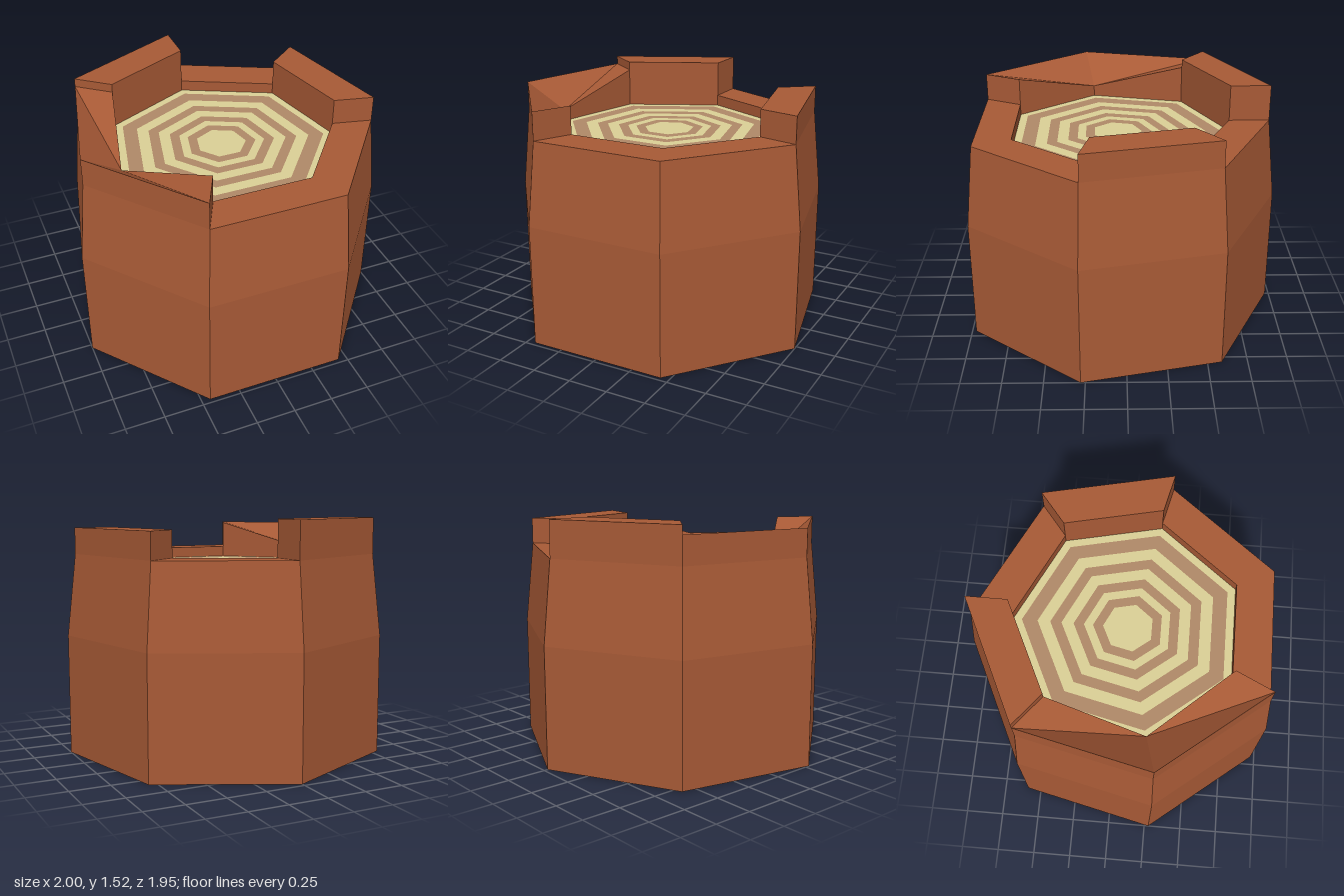
import * as THREE from 'three';

const SIDES = 7, CZ = 0.05;
const R_BASE = 1.026, R_TOP = 0.969, R_IN = 0.714;
const Y_BEND = 0.77, Y_RIM = 1.29, Y_FLOOR = 1.22;

const bark = new THREE.MeshStandardMaterial({ color: 0xa85a36, flatShading: true });
const cream = new THREE.MeshStandardMaterial({ color: 0xdbd196 });
const ringBrown = new THREE.MeshStandardMaterial({ color: 0xb08a68 });

// corner i of a heptagon with its point at the back
function corner(i, r, y) {
  const a = (i * 2 * Math.PI) / SIDES;
  return [Math.sin(a) * r, y, -Math.cos(a) * r];
}

// rim segments: top heights [outer start, outer end, inner start, inner end]
const flat = (h) => [h, h, h, h];
const segments = [
  flat(Y_RIM), flat(1.457), flat(Y_RIM), flat(Y_RIM),
  [1.465, 1.465, 1.465, Y_RIM], [1.465, 1.465, Y_RIM, 1.465], flat(1.52),
];

function rimSegment(i) {
  const [hoa, hob, hia, hib] = segments[i];
  const prev = segments[(i + SIDES - 1) % SIDES], next = segments[(i + 1) % SIDES];
  const outer = (k, y) => corner(i + k, R_TOP, y), inner = (k, y) => corner(i + k, R_IN, y);
  const pos = [];
  const quad = (a, b, c, d) => pos.push(...a, ...b, ...c, ...a, ...c, ...d);
  const oa = outer(0, hoa), ob = outer(1, hob), ia = inner(0, hia), ib = inner(1, hib);
  // top, split along the fold at a lowered inner corner
  if (hia < hib) quad(ia, ib, ob, oa);
  else quad(oa, ia, ib, ob);
  // inner wall
  quad(inner(0, Y_FLOOR), inner(1, Y_FLOOR), ib, ia);
  // outer wall and the ends that stand above a neighbour
  if (hoa > Y_RIM) quad(outer(1, Y_RIM), outer(0, Y_RIM), oa, ob);
  if (hoa > prev[1] || hia > prev[3]) quad(outer(0, prev[1]), inner(0, prev[3]), ia, oa);
  if (hob > next[0] || hib > next[2]) quad(inner(1, next[2]), outer(1, next[0]), ob, ib);
  const g = new THREE.BufferGeometry();
  g.setAttribute('position', new THREE.Float32BufferAttribute(pos, 3));
  g.computeVertexNormals();
  return g;
}

export function createModel() {
  const group = new THREE.Group();
  group.name = 'treeStump';
  const add = (name, geo, mat, y = 0) => {
    const m = new THREE.Mesh(geo, mat);
    m.name = name;
    m.position.set(0, y, CZ);
    group.add(m);
    return m;
  };

  // trunk: straight below, tapering above
  const tube = (rTop, rBottom, h) =>
    new THREE.CylinderGeometry(rTop, rBottom, h, SIDES, 1, true, Math.PI);
  add('lowerTrunk', tube(R_BASE, R_BASE, Y_BEND), bark, Y_BEND / 2);
  add('upperTrunk', tube(R_TOP, R_BASE, Y_RIM - Y_BEND), bark, (Y_RIM + Y_BEND) / 2);
  const base = new THREE.CircleGeometry(R_BASE, SIDES, -Math.PI / 2).rotateX(Math.PI / 2);
  add('trunkBase', base, bark);

  // broken bark rim
  for (let i = 0; i < SIDES; i++) {
    add(segments[i][0] > Y_RIM ? 'raisedBark' : 'lowBark', rimSegment(i), bark);
  }

  // growth rings on the cut surface
  const radii = [R_IN, 0.66, 0.563, 0.484, 0.415, 0.34, 0.276, 0.22, 0.158];
  radii.forEach((r, i) => {
    const next = radii[i + 1];
    const geo = next
      ? new THREE.RingGeometry(next, r, SIDES, 1, Math.PI / 2)
      : new THREE.CircleGeometry(r, SIDES, Math.PI / 2);
    add(next ? 'growthRing' : 'heartwood', geo.rotateX(-Math.PI / 2), i % 2 ? ringBrown : cream, Y_FLOOR);
  });

  return group;
}
